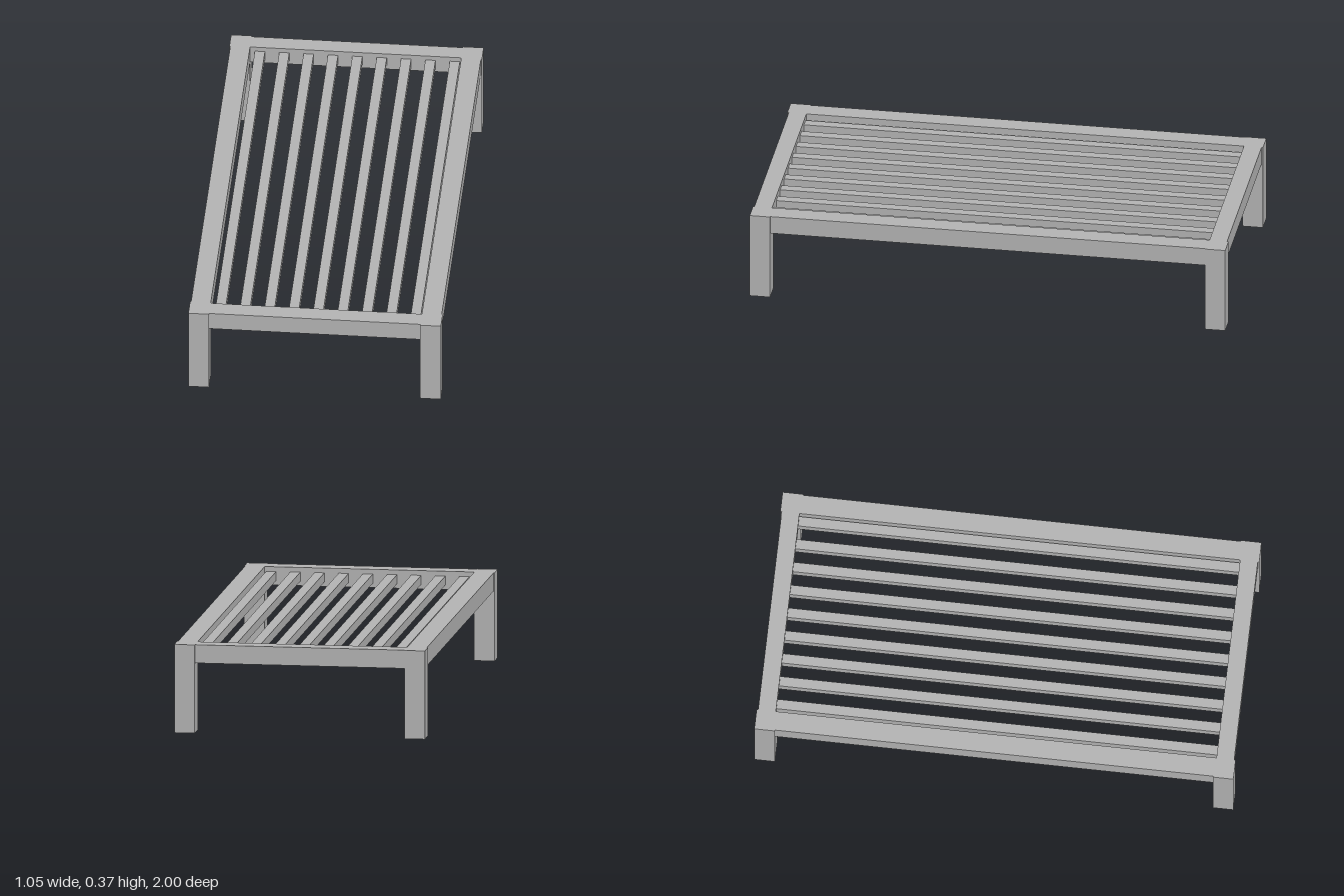
import * as THREE from 'three';

export function createModel() {
  const model = new THREE.Group();
  model.name = 'slattedBedFrame';
  const frameGrey = new THREE.MeshStandardMaterial({ color: 0xb3b3b3 });
  frameGrey.name = 'frame grey';

  // Adds a box spanning the given ranges on each axis
  function beam(name, [x0, x1], [y0, y1], [z0, z1]) {
    const mesh = new THREE.Mesh(new THREE.BoxGeometry(x1 - x0, y1 - y0, z1 - z0), frameGrey);
    mesh.name = name;
    mesh.position.set((x0 + x1) / 2, (y0 + y1) / 2, (z0 + z1) / 2);
    model.add(mesh);
  }

  const halfW = 0.526, halfL = 1, top = 0.372, railBottom = 0.295, leg = 0.086;
  const innerX = halfW - leg, innerZ = halfL - leg;
  const span = (side, inner, outer) => (side > 0 ? [inner, outer] : [-outer, -inner]);

  // Corner legs, rising to the top of the frame
  for (const sx of [-1, 1]) {
    for (const sz of [-1, 1]) {
      const name = (sz > 0 ? 'front' : 'back') + (sx > 0 ? 'Left' : 'Right') + 'Leg';
      beam(name, span(sx, innerX, halfW), [0, top], span(sz, innerZ, halfL));
    }
  }

  // Long side rails and short end rails between the legs
  for (const s of [-1, 1]) {
    beam(s > 0 ? 'leftRail' : 'rightRail', span(s, innerX, halfW - 0.004), [railBottom, top], [-innerZ, innerZ]);
    beam(s > 0 ? 'frontRail' : 'backRail', [-innerX, innerX], [railBottom, top], span(s, 0.92, 0.994));
  }

  // Nine lengthwise slats, set slightly below the rail tops
  for (let i = -4; i <= 4; i++) {
    const x = 0.007 + i * 0.1015;
    beam('slat' + (i + 5), [x - 0.021, x + 0.021], [0.314, 0.352], [-0.92, 0.92]);
  }
  return model;
}
